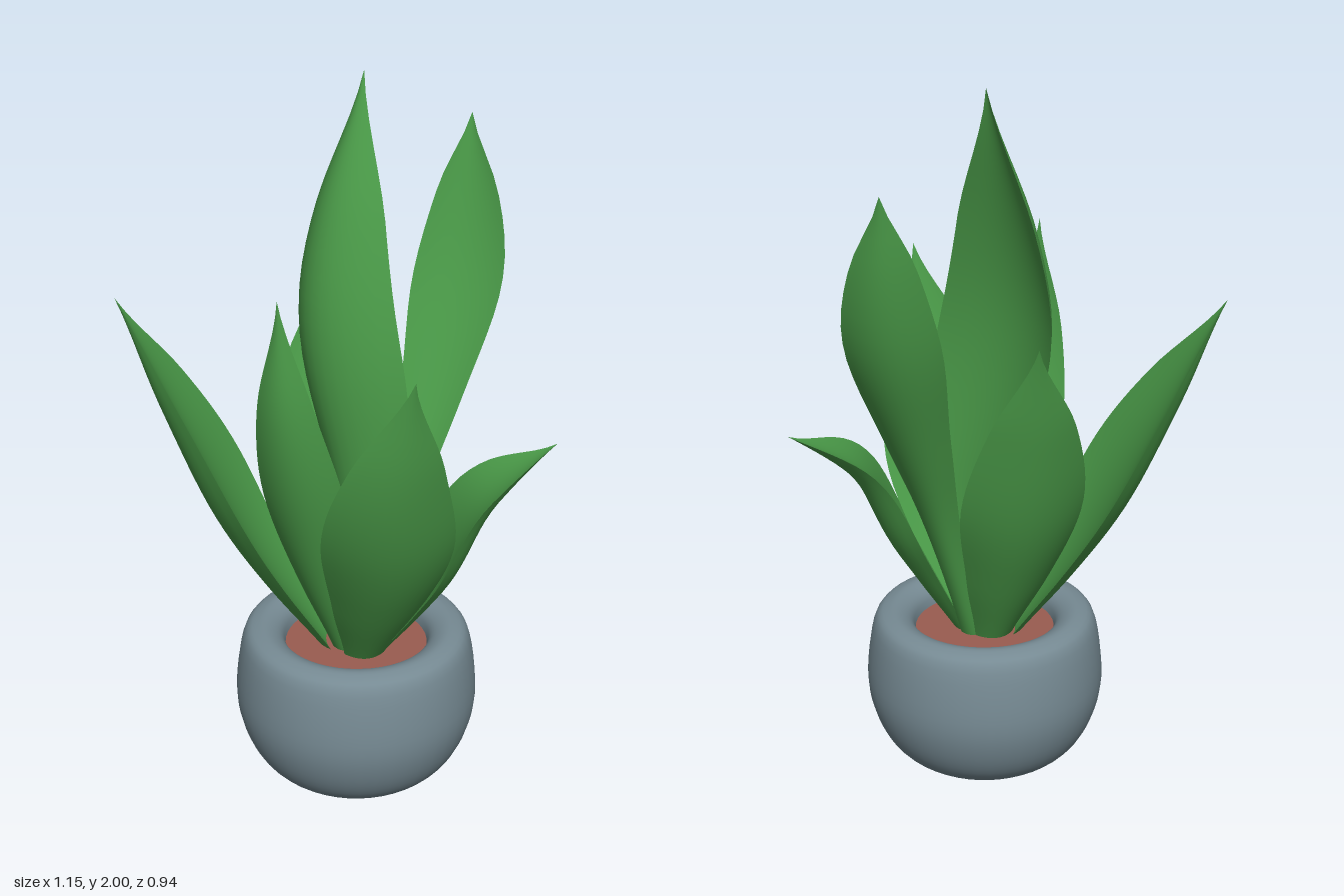
import * as THREE from 'three';

const leafGreen = new THREE.MeshStandardMaterial({ color: 0x4a9a48 });
leafGreen.name = 'leaf green';
const potGrey = new THREE.MeshStandardMaterial({ color: 0x768a93 });
potGrey.name = 'pot grey';
const soilBrown = new THREE.MeshStandardMaterial({ color: 0x9a5c50 });
soilBrown.name = 'soil brown';

const CENTRE = new THREE.Vector3(0.065, 0, 0.065);
const THICKNESS = 0.16;

// Half width from root to tip as a fraction of the widest point
const BLADE = new THREE.SplineCurve(
  [0.26, 0.7, 1, 0.68, 0].map((w, i) => new THREE.Vector2(i / 4, w)));

// One face of a leaf blade; side is +1 for the inner face and -1 for the outer.
function bladeFace(spine, across, halfWidth, widest, cup, side) {
  const rows = 28, cols = 12, pos = [], index = [];
  for (let i = 0; i <= rows; i++) {
    const t = i / rows;
    const p = spine.getPointAt(t);
    const n = new THREE.Vector3().crossVectors(across, spine.getTangentAt(t)).normalize();
    const w = halfWidth * BLADE.getPoint(t ** (Math.log(0.5) / Math.log(widest))).y;
    for (let j = 0; j <= cols; j++) {
      const u = (j / cols) * 2 - 1;
      const lift = w * (cup * (u * u - 0.4) + side * THICKNESS * (1 - u * u));
      const v = p.clone().addScaledVector(across, u * w).addScaledVector(n, lift);
      pos.push(v.x, v.y, v.z);
      if (i < rows && j < cols) {
        const k = i * (cols + 1) + j, m = k + cols + 1;
        if (side > 0) index.push(k, k + 1, m, k + 1, m + 1, m);
        else index.push(k, m, k + 1, k + 1, m, m + 1);
      }
    }
  }
  const g = new THREE.BufferGeometry();
  g.setAttribute('position', new THREE.Float32BufferAttribute(pos, 3));
  g.setIndex(index);
  g.computeVertexNormals();
  return g;
}

// A leaf rooted in the soil, bending through belly and shoulder to its tip.
// turn is the heading of the blade's width in degrees; widest is a share of its
// length; cup is the depth of its hollow, negative when it opens outwards.
function makeLeaf(name, turn, halfWidth, widest, cup, belly, shoulder, tip) {
  const points = [belly, shoulder, tip].map((p) => new THREE.Vector3(...p));
  const root = CENTRE.clone().lerp(points[0], 0.2).setY(0.36);
  const spine = new THREE.CatmullRomCurve3([root, ...points]);
  const angle = THREE.MathUtils.degToRad(turn);
  const across = new THREE.Vector3(Math.cos(angle), 0, Math.sin(angle));
  // Turn the inner face towards the middle of the plant
  const inward = CENTRE.clone().sub(points[1]).setY(0);
  const normal = new THREE.Vector3().crossVectors(across, spine.getTangentAt(0.5));
  if (normal.dot(inward) < 0) across.negate();

  const leaf = new THREE.Group();
  leaf.name = name;
  for (const side of [1, -1]) {
    const face = new THREE.Mesh(bladeFace(spine, across, halfWidth, widest, cup, side), leafGreen);
    face.name = side > 0 ? 'innerFace' : 'outerFace';
    leaf.add(face);
  }
  return leaf;
}

export function createModel() {
  const model = new THREE.Group();
  model.name = 'pottedPlant';

  // Rounded pot with a rolled rim
  const outline = new THREE.SplineCurve([
    [0, 0], [0.12, 0.002], [0.21, 0.022], [0.28, 0.078], [0.325, 0.17], [0.34, 0.28],
    [0.318, 0.435], [0.275, 0.47], [0.235, 0.465], [0.205, 0.435], [0.195, 0.37],
  ].map(([r, y]) => new THREE.Vector2(r, y)));
  const profile = outline.getPoints(44).map((p) => p.max(new THREE.Vector2(0, 0)));
  const pot = new THREE.Mesh(new THREE.LatheGeometry(profile, 48), potGrey);
  pot.name = 'pot';
  pot.position.copy(CENTRE);
  model.add(pot);

  // Soil disc inside the rim
  const soil = new THREE.Mesh(new THREE.CylinderGeometry(0.205, 0.205, 0.03, 40), soilBrown);
  soil.name = 'soil';
  soil.position.copy(CENTRE).setY(0.395);
  model.add(soil);

  // Leaves
  model.add(
    // The tall leaf's inner side faces the back, so its hollow opens to the front
    makeLeaf('tallLeaf', 31, 0.205, 0.54, 0.5, [0.07, 0.85, 0.055], [-0.02, 1.42, 0.025], [0.02, 2, -0.1]),
    makeLeaf('backLeaf', -7, 0.125, 0.7, 0.4, [0.15, 0.83, -0.13], [0.212, 1.42, -0.375], [0.2, 1.81, -0.47]),
    makeLeaf('backLeftLeaf', -25, 0.17, 0.5, 0.35, [-0.07, 0.75, -0.11], [-0.13, 1.1, -0.22], [-0.16, 1.4, -0.32]),
    makeLeaf('rightLeaf', 69, 0.19, 0.5, 0.35, [-0.2, 0.7, 0.13], [-0.39, 1.06, 0.16], [-0.58, 1.4, 0.18]),
    makeLeaf('frontLeaf', -5, 0.112, 0.5, 0.35, [0.01, 0.78, 0.245], [-0.02, 1.2, 0.36], [-0.03, 1.54, 0.38]),
    makeLeaf('frontLeftLeaf', -26, 0.175, 0.5, 0.3, [0.225, 0.74, 0.28], [0.285, 1.06, 0.4], [0.36, 1.42, 0.47]),
    makeLeaf('leftLeaf', 65, 0.165, 0.52, 0.3, [0.28, 0.66, 0.045], [0.4, 0.9, 0.005], [0.57, 1.03, -0.12]),
  );
  return model;
}
